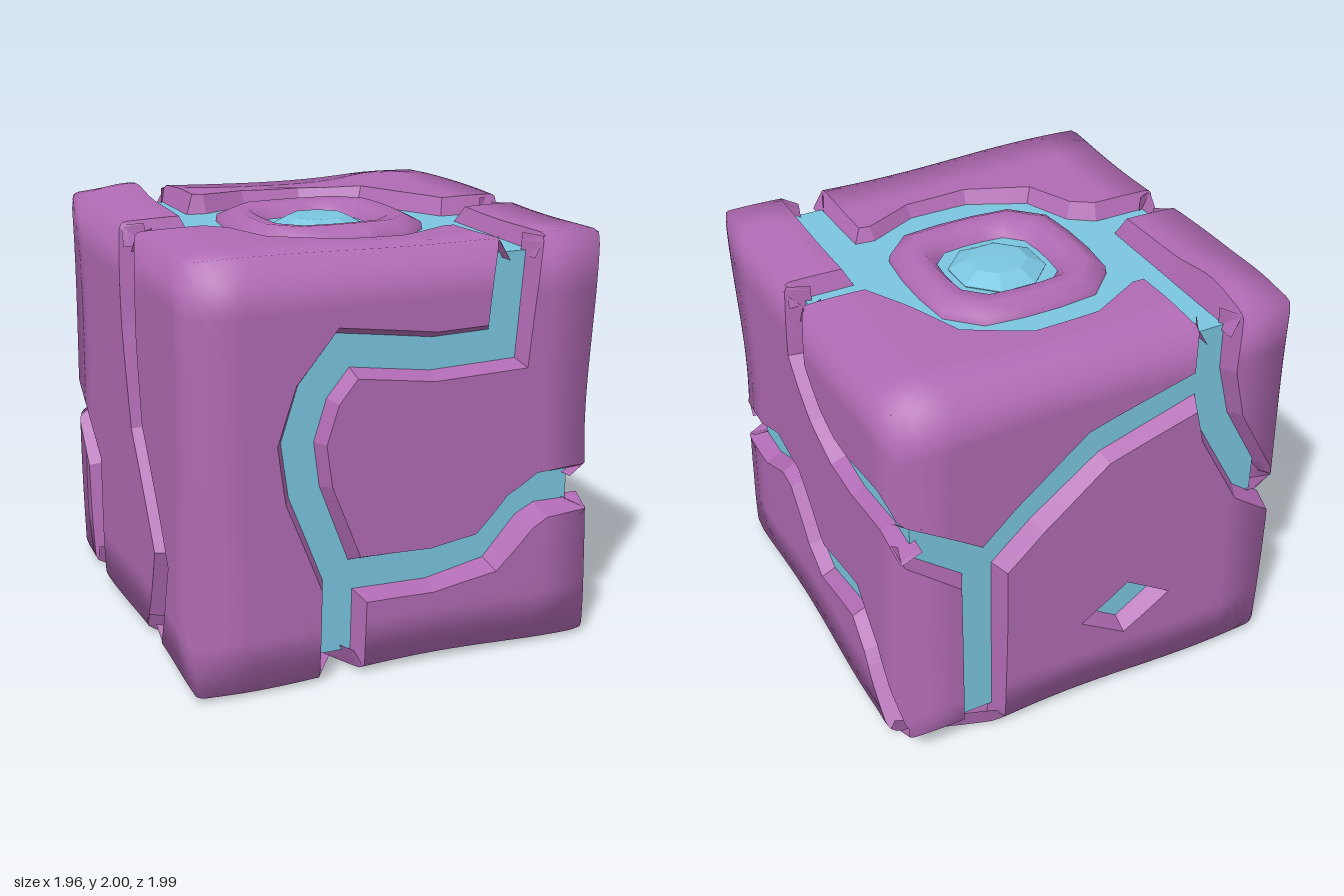
import * as THREE from 'three';

const E = 0.96, FLOOR = 0.86, ROUND = 0.035, SOFT = 0.24, LEVEL = 4;
const RIM_WIDTH = 0.11, FLOOR_WIDTH = 0.06; // half widths of a groove
const purple = new THREE.MeshStandardMaterial({ color: 0xb06ab3, side: THREE.DoubleSide });
const blue = new THREE.MeshStandardMaterial({ color: 0x7ac5e0, flatShading: true });

// Direction from an inner box gives soft rounded-cube normals
function outward(p, r) {
  const q = p.clone().clampScalar(-E + r, E - r);
  return p.clone().sub(q).normalize();
}

// Local swellings of the stone: centre, height, radius
const BUMPS = [
  { at: new THREE.Vector3(-0.7, 0.96, -0.72), height: 0.05, radius: 0.2 },
  { at: new THREE.Vector3(0.66, 0.96, -0.72), height: 0.03, radius: 0.2 },
  { at: new THREE.Vector3(0.6, -0.3, 0.96), height: 0.05, radius: 0.3 },
  { at: new THREE.Vector3(-0.7, -0.5, 0.96), height: 0.03, radius: 0.3 },
];

// Rounds the cube edges and adds the uneven stone surface
function stone(p) {
  const q = p.clone().clampScalar(-E + ROUND, E - ROUND);
  let h = 0.012 * Math.sin(4 * p.x + 1) * Math.sin(3.5 * p.y + 2) + 0.01 * Math.sin(4 * p.z + 3 * p.y);
  for (const b of BUMPS) h += b.height * Math.exp(-p.distanceToSquared(b.at) / b.radius ** 2);
  return q.addScaledVector(outward(p, ROUND), ROUND).addScaledVector(outward(p, SOFT), h);
}

// Each side of the cube: outline coordinates plus depth to 3D, and whether winding flips
const SIDES = {
  front: { at: (u, v, d) => new THREE.Vector3(u, v, d), flip: false },
  back: { at: (u, v, d) => new THREE.Vector3(u, v, -d), flip: true },
  left: { at: (u, v, d) => new THREE.Vector3(d, v, u), flip: true },
  right: { at: (u, v, d) => new THREE.Vector3(-d, v, u), flip: false },
  top: { at: (u, v, d) => new THREE.Vector3(u, d, v), flip: true },
  bottom: { at: (u, v, d) => new THREE.Vector3(u, -d, v), flip: false },
};

// Left bank of a groove's centre line; the ends slide along the cube edge
function bank(path) {
  const normal = (a, b) => new THREE.Vector2(a[1] - b[1], b[0] - a[0]).normalize();
  return path.map((p, i) => {
    const last = path.length - 1;
    const before = normal(path[Math.max(i - 1, 0)], path[Math.max(i, 1)]);
    const after = normal(path[Math.min(i, last - 1)], path[Math.min(i + 1, last)]);
    const n = before.clone().add(after).normalize();
    n.divideScalar(Math.max(0.6, n.dot(before)));
    if (i === 0 || i === last) {
      if (Math.abs(p[0]) === E) n.set(0, Math.sign(n.y));
      else n.set(Math.sign(n.x), 0);
    }
    const shift = (w) => new THREE.Vector2(p[0] + n.x * w, p[1] + n.y * w);
    return { rim: shift(RIM_WIDTH), floor: shift(FLOOR_WIDTH) };
  });
}

// Outline of a plate lying left of its grooves, closed counterclockwise over the cube corners
function plateOutline(paths) {
  const turn = (a) => (a + 4 * Math.PI) % (2 * Math.PI);
  const angle = ([u, v]) => Math.atan2(v, u);
  return paths.flatMap((path, i) => {
    const start = angle(path[path.length - 1]);
    const span = turn(angle(paths[(i + 1) % paths.length][0]) - start);
    const corners = [[E, E], [-E, E], [-E, -E], [E, -E]]
      .filter((c) => turn(angle(c) - start) < span)
      .sort((a, b) => turn(angle(a) - start) - turn(angle(b) - start))
      .map(([u, v]) => ({ rim: new THREE.Vector2(u, v), floor: new THREE.Vector2(u, v) }));
    return [...bank(path), ...corners];
  });
}

// Stone plate: rounded outer skin and sloping groove walls
function plate(side, paths, hole = []) {
  const { at, flip } = SIDES[side];
  const outline = plateOutline(paths), pos = [], nor = [];
  const add = (p, n) => { pos.push(p.x, p.y, p.z); nor.push(n.x, n.y, n.z); };
  const skin = (a, b, c, level) => {
    if (level === 0) {
      for (const p of flip ? [a, c, b] : [a, b, c]) add(stone(p), outward(p, SOFT));
      return;
    }
    const mid = (s, t) => s.clone().lerp(t, 0.5);
    const ab = mid(a, b), bc = mid(b, c), ca = mid(c, a);
    skin(a, ab, ca, level - 1);
    skin(ab, b, bc, level - 1);
    skin(ca, bc, c, level - 1);
    skin(ab, bc, ca, level - 1);
  };
  const rims = (loop) => loop.map((p) => p.rim);
  const corners = [...outline, ...hole].map(({ rim }) => at(rim.x, rim.y, E));
  const triangles = THREE.ShapeUtils.triangulateShape(rims(outline), hole.length ? [rims(hole)] : []);
  for (const [a, b, c] of triangles) skin(corners[a], corners[b], corners[c], LEVEL);

  const onCubeEdge = (a, b) => ['x', 'y'].some((k) => a[k] === b[k] && Math.abs(a[k]) === E);
  const steps = 2 ** LEVEL;
  for (const loop of [outline, hole]) {
    loop.forEach((a, i) => {
      const b = loop[(i + 1) % loop.length];
      if (onCubeEdge(a.rim, b.rim)) return;
      const along = (key, depth, t) => {
        const p = a[key].clone().lerp(b[key], t);
        return at(p.x, p.y, depth);
      };
      for (let k = 0; k < steps; k++) {
        const [r0, r1] = [k, k + 1].map((j) => stone(along('rim', E, j / steps)));
        const [f0, f1] = [k, k + 1].map((j) => along('floor', FLOOR, j / steps));
        for (const [p, s, t] of [[r0, f0, f1], [r0, f1, r1]]) {
          const [q, r] = flip ? [t, s] : [s, t];
          const n = q.clone().sub(p).cross(r.clone().sub(p)).normalize();
          for (const corner of [p, q, r]) add(corner, n);
        }
      }
    });
  }
  const g = new THREE.BufferGeometry();
  g.setAttribute('position', new THREE.Float32BufferAttribute(pos, 3));
  g.setAttribute('normal', new THREE.Float32BufferAttribute(nor, 3));
  return g;
}

// Lathe squared off towards a rounded square
function squaredLathe(profile, segments) {
  const g = new THREE.LatheGeometry(profile.map(([r, y]) => new THREE.Vector2(r, y)), segments, Math.PI / segments);
  const p = g.attributes.position;
  for (let i = 0; i < p.count; i++) {
    const x = p.getX(i), z = p.getZ(i), r = Math.hypot(x, z);
    if (r < 1e-6) continue;
    const k = ((x / r) ** 4 + (z / r) ** 4) ** -0.25;
    p.setX(i, x * k);
    p.setZ(i, z * k);
  }
  g.computeVertexNormals();
  return g;
}

export function createModel() {
  const model = new THREE.Group();
  model.name = 'crackedStoneCube';
  const add = (name, geometry, material) => {
    const mesh = new THREE.Mesh(geometry, material);
    mesh.name = name;
    model.add(mesh);
  };
  const addPlate = (name, side, paths, hole) => add(name, plate(side, paths, hole), purple);
  const rev = (path) => path.slice().reverse();

  // Blue core seen at the bottom of every groove
  add('core', new THREE.BoxGeometry(1.77, 1.77, 1.77), blue);

  // Front: three plates around a forked groove
  const fork = [-0.27, -0.52], foot = [[-0.28, -E]];
  const hook = [[-0.43, -0.1], [-0.46, 0.13], [-0.39, 0.35], [-0.25, 0.52], [0.17, 0.46], [0.52, 0.47], [0.56, E]];
  const wave = [[0.16, -0.53], [0.42, -0.48], [0.58, -0.3], [0.7, -0.24], [E, -0.24]];
  addPlate('frontOuterPlate', 'front', [[...foot, fork, ...hook]]);
  addPlate('frontCentrePlate', 'front', [[...rev(hook), fork, ...wave]]);
  addPlate('frontLowerPlate', 'front', [[...rev(wave), fork, ...foot]]);

  // Left: an upper and a lower groove
  const upper = [[0.07, E], [0.07, 0.64], [-0.1, 0.44], [-0.25, 0.34], [-0.42, 0.31], [-0.73, 0.34], [-E, 0.31]];
  const zigzag = [[-0.58, -0.58], [-0.38, -0.45], [0.02, -0.52], [0.12, -0.46], [0.31, -0.2], [0.48, -0.16], [0.71, -0.25], [E, -0.24]];
  addPlate('leftUpperPlate', 'left', [rev(upper)]);
  addPlate('leftMiddlePlate', 'left', [upper, [[-E, -0.88], [-0.72, -0.74], ...zigzag]]);
  addPlate('leftLowerPlate', 'left', [[...rev(zigzag), [-0.86, -E]]]);

  // Back: a groove with two forks, and a diamond hole
  const forkA = [-0.57, 0.65], forkB = [0.57, 0.02], bridge = [[0, 0.48], [0.35, 0.22]];
  const rise = [[-0.57, E]], slope = [[-0.64, 0.37], [-0.84, 0], [-E, -0.11]], branch = [[E, 0.31]];
  const diamond = [0, 1, 2, 3].map((i) => {
    const c = Math.cos((i * Math.PI) / 2), s = Math.sin((i * Math.PI) / 2);
    const point = (k) => new THREE.Vector2(-0.17 + 0.24 * k * c, -0.5 + 0.16 * k * s);
    return { rim: point(1), floor: point(0.65) };
  });
  addPlate('backUpperPlate', 'back', [[...rise, forkA, ...bridge, forkB, ...branch]]);
  addPlate('backCentrePlate', 'back', [[[0.57, -E], forkB, ...rev(bridge), forkA, ...slope]], diamond);
  addPlate('backEdgeSliver', 'back', [[...rev(slope), forkA, ...rise]]);
  addPlate('backSideStrip', 'back', [[...branch, forkB, [0.57, -0.95], [E, -0.93]]]);

  // Right: a long groove and a cut lower corner
  const long = [[0.09, E], [0.1, 0.5], [0.15, 0.04], [0.49, -0.49], [0.3, -E]];
  const cut = [[-E, -0.11], [-0.66, -0.39], [-0.6, -E]];
  addPlate('rightRearPlate', 'right', [rev(long), cut]);
  addPlate('rightFrontPlate', 'right', [long]);
  addPlate('rightLowerCorner', 'right', [rev(cut)]);

  // Bottom: one plate with a slit and a cut corner, plus a loose corner
  const corner = [[-0.28, E], [-0.45, 0.65], [-E, 0.3]];
  const slit = [[-E, -0.6], [-0.35, -0.31], [-0.35, -0.34], [-E, -0.6]];
  addPlate('bottomPlate', 'bottom', [corner, slit, [[0.57, -E], [E, -0.86]]]);
  addPlate('bottomCorner', 'bottom', [rev(corner)]);

  // Top: half of a ring groove with two arms, turned half round for the other half
  for (const [name, s, v] of [['Back', 1, 0.09], ['Front', -1, -0.09]]) {
    const turned = (path) => path.map(([x, z]) => [s * x, s * z]);
    const arc = [[E, v], [0.6, v], [0.45, -0.2], [0.36, -0.42], [0.13, -0.53], [-0.13, -0.53], [-0.38, -0.41], [-0.56, -0.43], [-0.57, -E]];
    addPlate(`top${name}Plate`, 'top', [turned(arc)]);
    addPlate(`top${name}Strip`, 'top', [turned([[-0.57, -E], [-0.57, v], [-E, v]])]);
  }

  // Raised ring and gem in the middle of the top
  add('topRing', squaredLathe([[0.44, 0.85], [0.43, 0.92], [0.36, 0.955], [0.29, 0.945], [0.25, 0.9], [0.22, 0.85]], 16), purple);
  add('topGem', squaredLathe([[0.2, 0.86], [0.21, 0.89], [0.13, 0.935], [0, 0.94]], 8), blue);

  // Stand on the ground, centred
  const box = new THREE.Box3().setFromObject(model), c = box.getCenter(new THREE.Vector3());
  for (const mesh of model.children) mesh.position.set(-c.x, -box.min.y, -c.z);
  return model;
}
